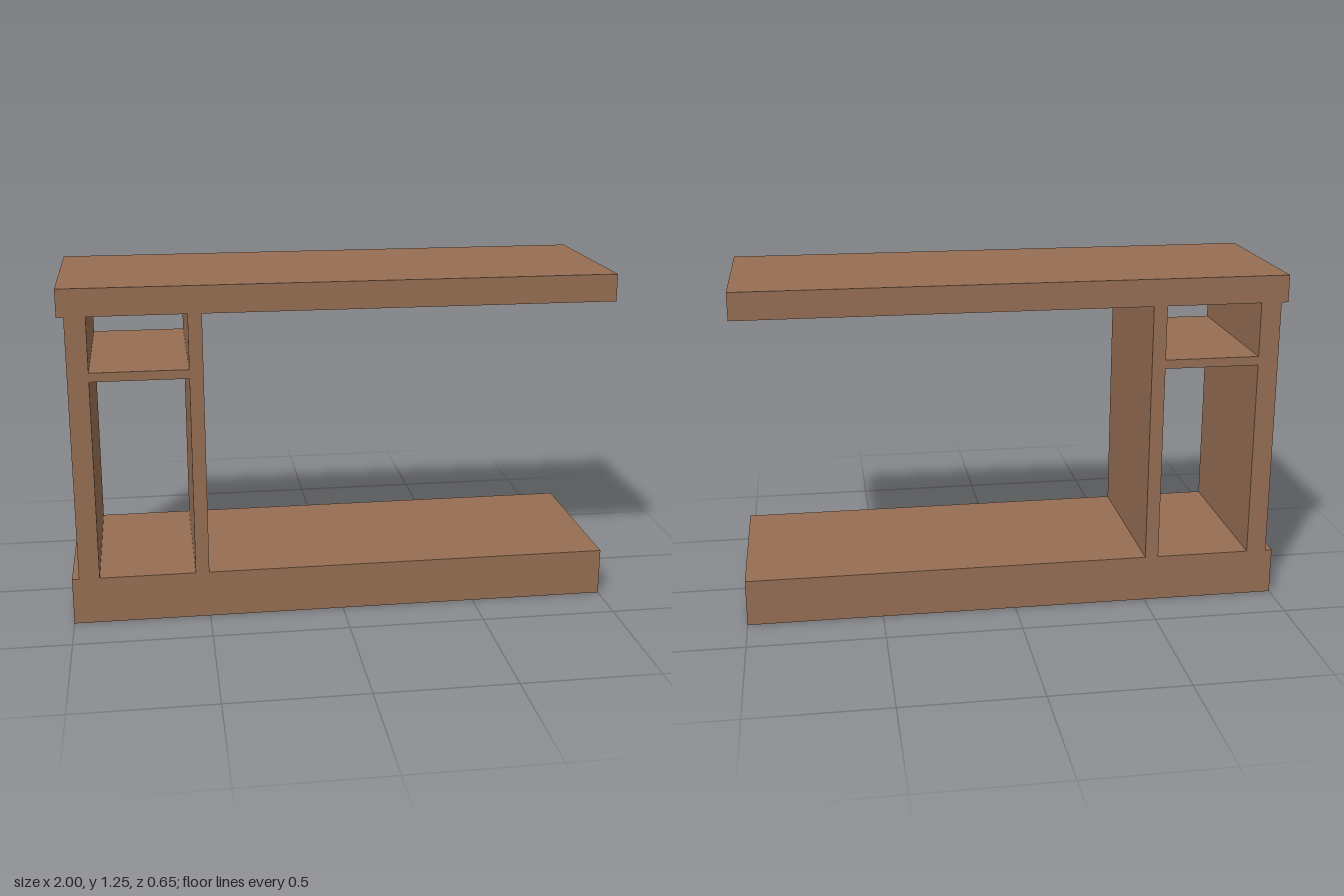
import * as THREE from 'three';

const DEPTH = 0.65;

export function createModel() {
  const group = new THREE.Group();
  const wood = new THREE.MeshStandardMaterial({ color: 0x966e53 });
  wood.name = 'brown wood';

  // Full-depth board given by its extents in x and y
  function board(name, x0, x1, y0, y1) {
    const mesh = new THREE.Mesh(new THREE.BoxGeometry(x1 - x0, y1 - y0, DEPTH), wood);
    mesh.name = name;
    mesh.position.set((x0 + x1) / 2, (y0 + y1) / 2, 0);
    group.add(mesh);
  }

  // Thick base and top slab
  board('base', -1, 1, 0, 0.175);
  board('top', -1, 1, 1.15, 1.25);

  // Uprights of the open cabinet and the shelf between them
  board('outerPanel', -0.975, -0.9, 0.175, 1.15);
  board('innerPanel', -0.55, -0.5, 0.175, 1.15);
  board('shelf', -0.9, -0.55, 0.917, 0.95);

  return group;
}
